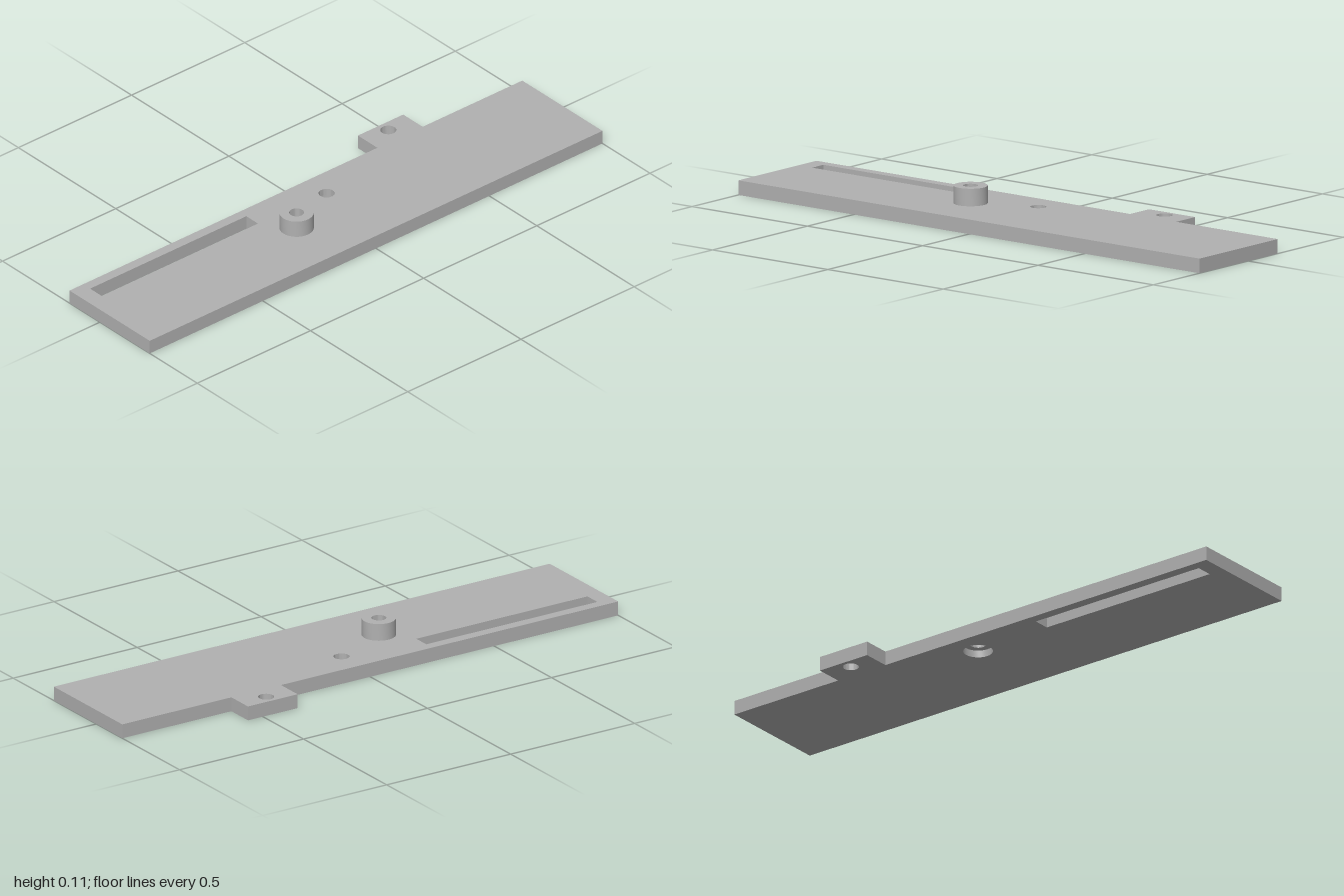
import * as THREE from 'three';
import { toCreasedNormals } from 'three/addons/utils/BufferGeometryUtils.js';

const THICK = 0.05;

export function createModel() {
  const group = new THREE.Group();
  const grey = new THREE.MeshStandardMaterial({ color: 0xb0b0b0 });
  grey.name = 'plain grey';

  const add = (name, geometry, x = 0, z = 0) => {
    const mesh = new THREE.Mesh(toCreasedNormals(geometry, 0.6), grey);
    mesh.name = name;
    mesh.position.set(x, 0, z);
    group.add(mesh);
  };
  // Outlines are given as [x, z]; shape y is -z
  const points = (list) => list.map(([x, z]) => new THREE.Vector2(x, -z));
  const roundHole = (x, z, r) => new THREE.Path().absarc(x, -z, r, 0, Math.PI * 2, true);
  const turned = (profile) =>
    new THREE.LatheGeometry(profile.map(([r, y]) => new THREE.Vector2(r, y)), 32);

  // Plate with rear tab, slot and drilled holes
  const outline = new THREE.Shape(points([
    [-1, 0.256], [1, 0.256], [1, -0.156], [0.56, -0.156],
    [0.56, -0.256], [0.36, -0.256], [0.36, -0.156], [-1, -0.156],
  ]));
  const pivot = { x: 0.047, z: -0.053, bore: 0.027, counterbore: 0.05 };
  outline.holes.push(
    new THREE.Path(points([[-0.94, -0.12], [-0.25, -0.12], [-0.25, -0.06], [-0.94, -0.06]])),
    roundHole(0.46, -0.216, 0.027),
    roundHole(pivot.x, pivot.z, pivot.counterbore),
  );
  const plate = new THREE.ExtrudeGeometry(outline, {
    depth: THICK, bevelEnabled: false, curveSegments: 16,
  });
  plate.rotateX(-Math.PI / 2);
  add('plate', plate);

  // Shoulder that narrows the upper half of the counterbored hole
  add('counterboreShoulder', turned([
    [pivot.counterbore, THICK], [pivot.bore, THICK],
    [pivot.bore, 0.025], [pivot.counterbore, 0.025],
  ]), pivot.x, pivot.z);

  // Raised boss with a blind bore
  add('boss', turned([
    [0.058, THICK], [0.058, 0.11], [0.025, 0.11], [0.025, THICK],
  ]), -0.168, 0.043);

  return group;
}
